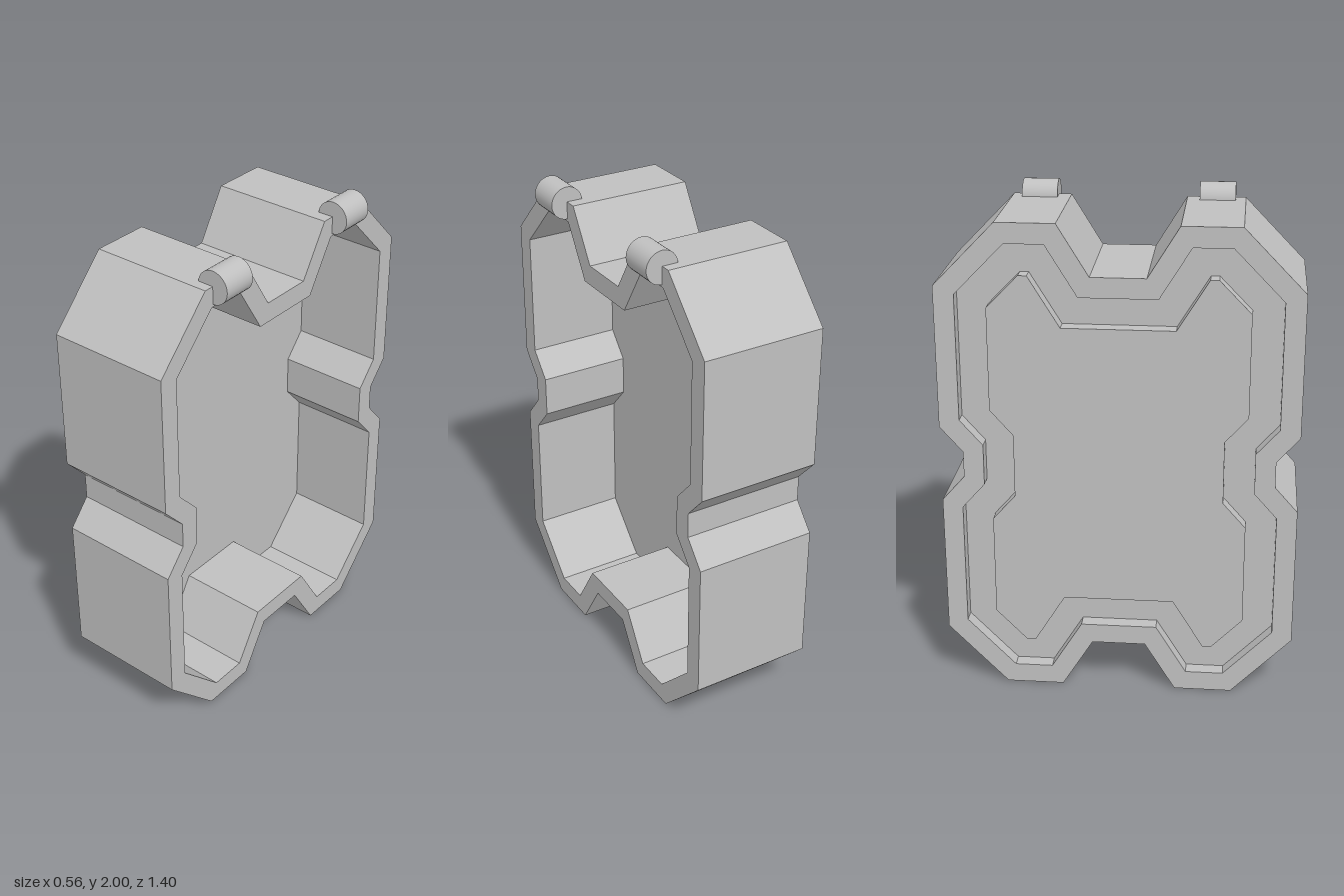
import * as THREE from 'three';

const BACK = -0.285, FRONT = 0.215, MID_Y = 0.97;

// One quarter of the outline: (distance from centre line, height above middle)
const QUARTER = [
  [0.61, 0.053], [0.70, 0.155], [0.70, 0.723],
  [0.46, 0.97], [0.23, 0.97], [0.107, 0.77],
];

// Full counter-clockwise outline, mirrored both ways
function outline() {
  const flip = (pts, sx, sy) => pts.map(([x, y]) => new THREE.Vector2(x * sx, MID_Y + y * sy));
  const reversed = [...QUARTER].reverse();
  return [
    ...flip(QUARTER, 1, 1), ...flip(reversed, -1, 1),
    ...flip(QUARTER, -1, -1), ...flip(reversed, 1, -1),
  ];
}

// Mitred inward offset of a counter-clockwise outline
function inset(points, d) {
  const n = points.length;
  const normal = (a, b) => new THREE.Vector2(a.y - b.y, b.x - a.x).normalize();
  return points.map((p, i) => {
    const n1 = normal(points[(i + n - 1) % n], p);
    const n2 = normal(p, points[(i + 1) % n]);
    return n1.clone().add(n2).multiplyScalar(d / (1 + n1.dot(n2))).add(p);
  });
}

// Extrude an outline sideways from x0 to x1
function slab(name, points, x0, x1, material, hole) {
  const shape = new THREE.Shape(points);
  if (hole) shape.holes.push(new THREE.Path(hole));
  const geometry = new THREE.ExtrudeGeometry(shape, { depth: x1 - x0, bevelEnabled: false });
  geometry.rotateY(Math.PI / 2).translate(x0, 0, 0);
  const mesh = new THREE.Mesh(geometry, material);
  mesh.name = name;
  return mesh;
}

export function createModel() {
  const model = new THREE.Group();
  model.name = 'notchedCaseHalf';
  const grey = new THREE.MeshStandardMaterial({ color: 0xc0c0c0 });
  grey.name = 'grey';

  const outer = outline();
  const inner = inset(outer, 0.08);

  // Shell wall, open at both ends
  model.add(slab('wall', outer, BACK, FRONT, grey, inner));
  // Floor of the cavity, also the bottom of the groove on the back
  model.add(slab('floor', inner, BACK + 0.06, BACK + 0.12, grey));
  // Raised panel inside the groove on the back
  model.add(slab('backPanel', inset(outer, 0.2), BACK, BACK + 0.06, grey));

  // Hinge barrels on the open upper edge
  const barrel = new THREE.CylinderGeometry(0.065, 0.065, 0.14, 32).rotateX(Math.PI / 2);
  for (const side of [1, -1]) {
    const hinge = new THREE.Mesh(barrel, grey);
    hinge.name = side > 0 ? 'frontHinge' : 'backHinge';
    hinge.position.set(FRONT, 1.935, side * 0.35);
    model.add(hinge);
  }
  return model;
}
